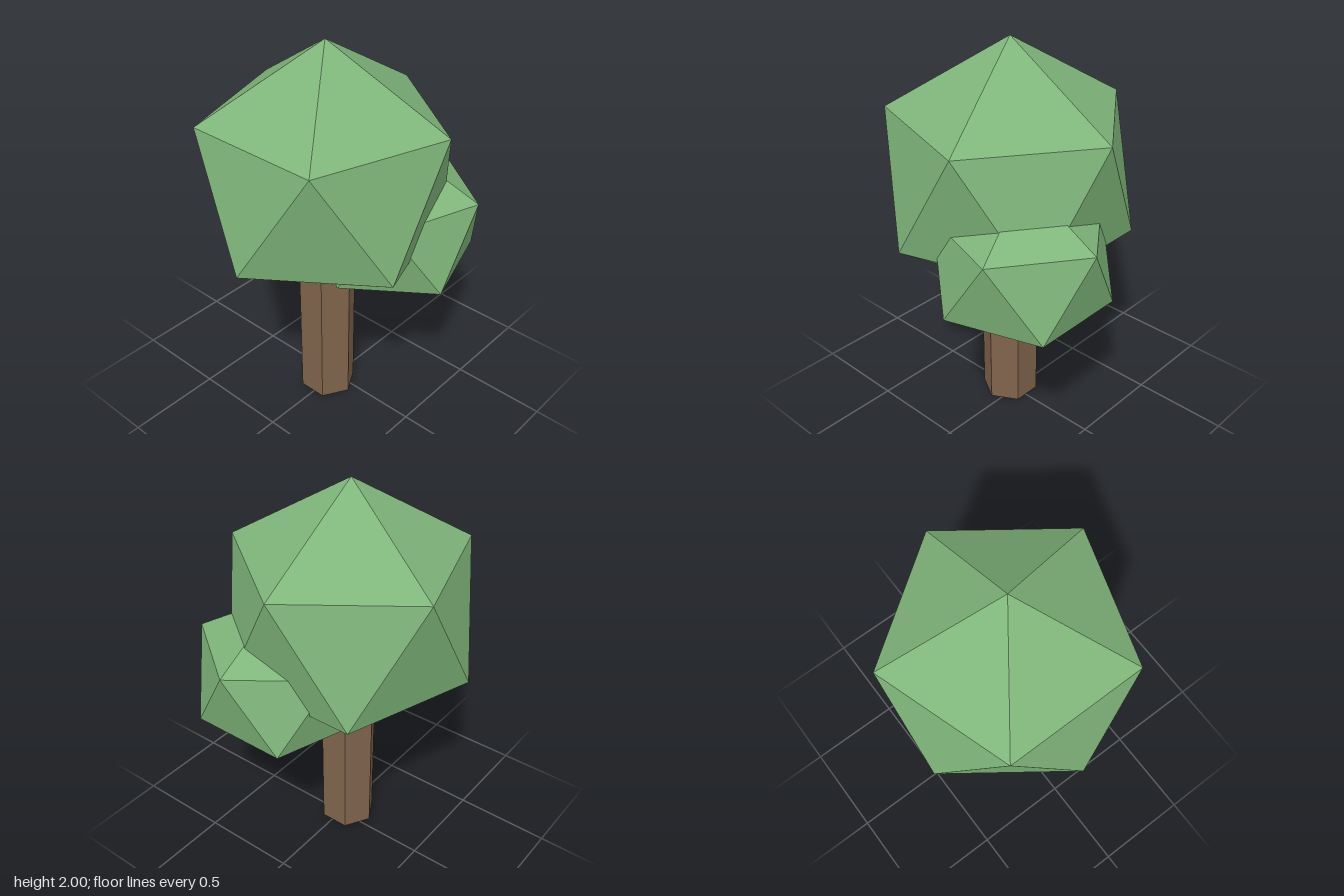
import * as THREE from 'three';

const leafMaterial = new THREE.MeshStandardMaterial({ color: 0x7fb57a, flatShading: true });
const barkMaterial = new THREE.MeshStandardMaterial({ color: 0x80644c, flatShading: true });

// Icosahedron standing on a corner, with one upper-ring corner towards +x
function foliage(name, width, height, x, y, z) {
  const geometry = new THREE.IcosahedronGeometry(1, 0);
  geometry.rotateX(-Math.atan((1 + Math.sqrt(5)) / 2));
  geometry.rotateY(Math.PI / 2);
  geometry.scale(width, height, width);
  geometry.computeVertexNormals();
  const mesh = new THREE.Mesh(geometry, leafMaterial);
  mesh.name = name;
  mesh.position.set(x, y, z);
  return mesh;
}

export function createModel() {
  const tree = new THREE.Group();
  tree.name = 'tree';

  // Six-sided trunk, its top hidden inside the crown
  const trunkHeight = 0.9;
  const trunk = new THREE.Mesh(
    new THREE.CylinderGeometry(0.15, 0.148, trunkHeight, 6),
    barkMaterial
  );
  trunk.name = 'trunk';
  trunk.position.set(-0.05, trunkHeight / 2, -0.013);

  // Large crown and the smaller clump at its front left
  tree.add(
    trunk,
    foliage('crown', 0.682, 0.675, -0.05, 1.325, -0.02),
    foliage('sideFoliage', 0.481, 0.436, 0.23, 1.006, 0.186)
  );
  return tree;
}
